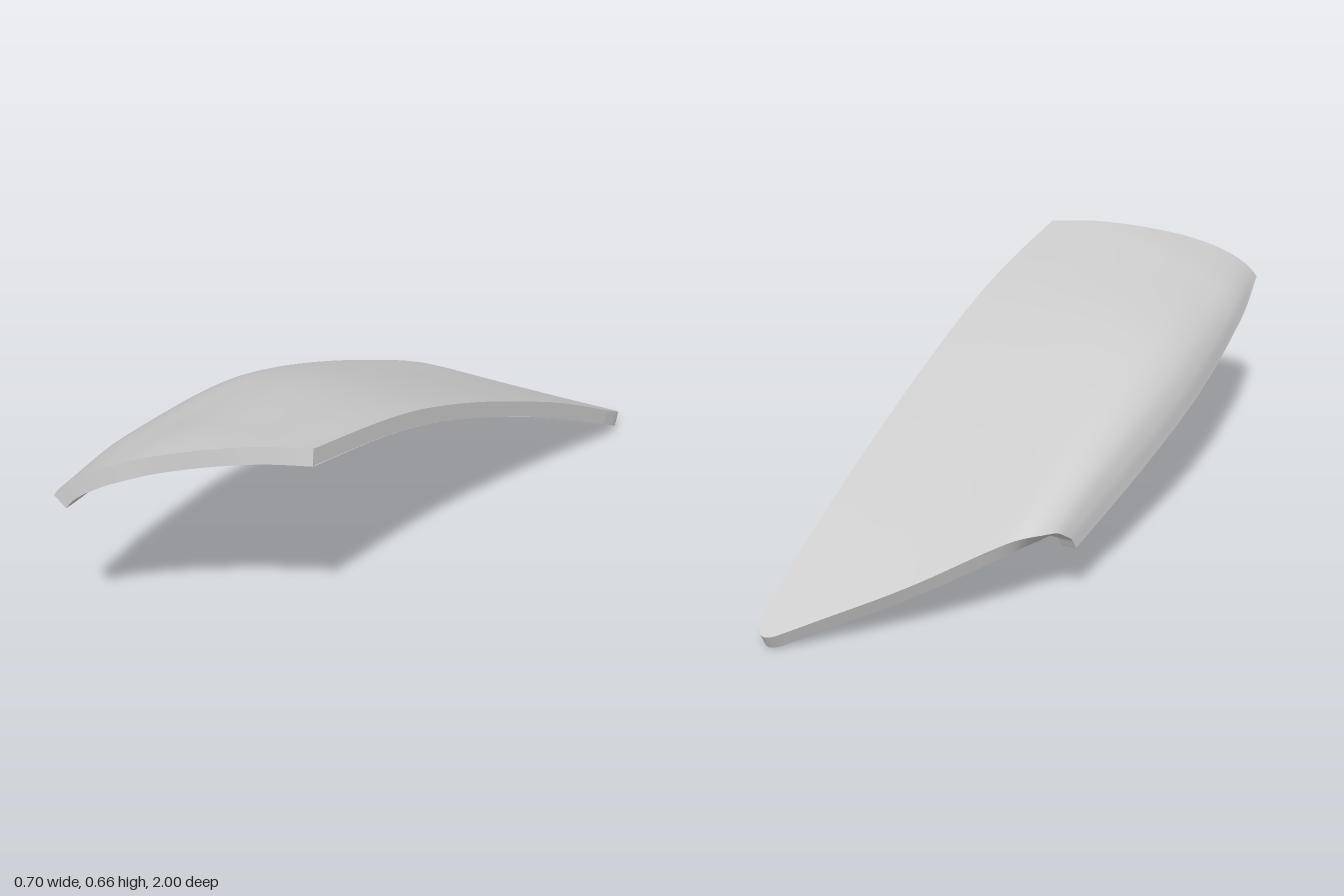
import * as THREE from 'three';

const THICKNESS = 0.046;

// Cross-sections of the outer skin: z, then [x, y] from the straight edge round to the lower lip
const SECTIONS = [
  { z: -1.0, pts: [[0.348, 0.041], [0.2, 0.038], [0, 0.037], [-0.15, 0.04], [-0.22, 0.03], [-0.24, 0], [-0.235, 0.01], [-0.22, 0.02]] },
  { z: -0.45, pts: [[0.348, 0.311], [0.2, 0.307], [0, 0.303], [-0.15, 0.303], [-0.22, 0.293], [-0.27, 0.259], [-0.291, 0.212], [-0.298, 0.163]] },
  { z: 0.2, pts: [[0.348, 0.562], [0.2, 0.559], [0, 0.55], [-0.15, 0.53], [-0.243, 0.502], [-0.304, 0.456], [-0.337, 0.398], [-0.351, 0.337]] },
  { z: 0.7, pts: [[0.348, 0.662], [0.2, 0.65], [0, 0.618], [-0.13, 0.577], [-0.2, 0.551], [-0.255, 0.52], [-0.29, 0.482], [-0.309, 0.436]] },
  { z: 1.0, pts: [[0.348, 0.692], [0.2, 0.662], [0, 0.613], [-0.1, 0.579], [-0.165, 0.546], [-0.2, 0.523], [-0.225, 0.502], [-0.245, 0.478]] },
];

// Plan outline of the back and front ends: [x, z]
const BACK = [[-0.31, -0.4], [-0.3, -0.423], [-0.285, -0.462], [-0.25, -0.525], [-0.2, -0.582], [0, -0.77], [0.2, -0.93],
  [0.25, -0.97], [0.28, -0.993], [0.305, -1], [0.325, -0.987], [0.34, -0.95], [0.348, -0.86]];
const FRONT = [[-0.245, 0.995], [-0.2, 0.983], [-0.1, 0.943], [0, 0.892], [0.2, 0.784], [0.348, 0.7]];

// Smooth interpolation through unevenly spaced [t, value] pairs
function interp(table, t) {
  const n = table.length;
  t = THREE.MathUtils.clamp(t, table[0][0], table[n - 1][0]);
  let k = 0;
  while (k < n - 2 && t > table[k + 1][0]) k++;
  const slope = (i) => {
    const a = table[Math.max(i - 1, 0)], b = table[Math.min(i + 1, n - 1)];
    return (b[1] - a[1]) / (b[0] - a[0]);
  };
  const [t0, y0] = table[k], [t1, y1] = table[k + 1];
  const h = t1 - t0, s = (t - t0) / h, s2 = s * s, s3 = s2 * s;
  return (2 * s3 - 3 * s2 + 1) * y0 + (s3 - 2 * s2 + s) * h * slope(k)
    + (3 * s2 - 2 * s3) * y1 + (s3 - s2) * h * slope(k + 1);
}

// Strip or sheet geometry from rows of points
function sheet(rows, flip = false) {
  const w = rows[0].length, index = [];
  for (let i = 0; i < rows.length - 1; i++) {
    for (let j = 0; j < w - 1; j++) {
      const a = i * w + j, b = a + w, c = a + 1, d = b + 1;
      if (flip) index.push(a, c, b, b, c, d);
      else index.push(a, b, c, b, d, c);
    }
  }
  const geo = new THREE.BufferGeometry().setFromPoints(rows.flat());
  geo.setIndex(index);
  geo.computeVertexNormals();
  return geo;
}

export function createModel() {
  const group = new THREE.Group();
  group.name = 'curvedPanel';
  const material = new THREE.MeshStandardMaterial({ color: 0xcccccc, roughness: 0.7 });
  const add = (name, geo) => {
    const mesh = new THREE.Mesh(geo, material);
    mesh.name = name;
    group.add(mesh);
  };

  // Columns run back to front, packed closely around the rounded tip
  const columns = [];
  for (let i = 0; i < 24; i++) columns.push((i / 24) ** 2);
  for (let i = 0; i <= 48; i++) columns.push(1 + i / 8);
  const ROWS = 48;

  const outer = columns.map((u) => {
    const at = SECTIONS.map(({ z, pts }) => ({
      z,
      x: interp(pts.map((p, i) => [i, p[0]]), u),
      y: interp(pts.map((p, i) => [i, p[1]]), u),
    }));
    const xs = at.map((p) => [p.z, p.x]), ys = at.map((p) => [p.z, p.y]);
    let back = -0.6, front = 0.9;
    for (let k = 0; k < 8; k++) {
      back = interp(BACK, interp(xs, back));
      front = interp(FRONT, interp(xs, front));
    }
    return Array.from({ length: ROWS + 1 }, (_, j) => {
      const z = THREE.MathUtils.lerp(back, front, j / ROWS);
      return new THREE.Vector3(interp(xs, z), interp(ys, z), z);
    });
  });

  // Outer skin, and inner skin offset along its normals
  const outerGeo = sheet(outer);
  const normals = outerGeo.attributes.normal;
  const inner = outer.map((col, i) => col.map((p, j) => {
    const n = new THREE.Vector3().fromBufferAttribute(normals, i * (ROWS + 1) + j);
    if (i === 0) n.setX(0).normalize(); // keeps the straight edge in one plane
    return p.clone().addScaledVector(n, -THICKNESS);
  }));
  add('outerSkin', outerGeo);
  add('innerSkin', sheet(inner, true));

  // Rim faces joining the two skins
  const last = columns.length - 1;
  const rim = (name, pick, flip) => add(name, sheet([pick(outer), pick(inner)], flip));
  rim('backEdge', (s) => s.map((col) => col[0]), false);
  rim('frontEdge', (s) => s.map((col) => col[ROWS]), true);
  rim('lowerLip', (s) => s[last], false);
  rim('straightEdge', (s) => s[0], true);

  // Rest the tip on the ground
  const box = new THREE.Box3().setFromObject(group);
  group.children.forEach((mesh) => mesh.geometry.translate(0, -box.min.y, 0));
  return group;
}
